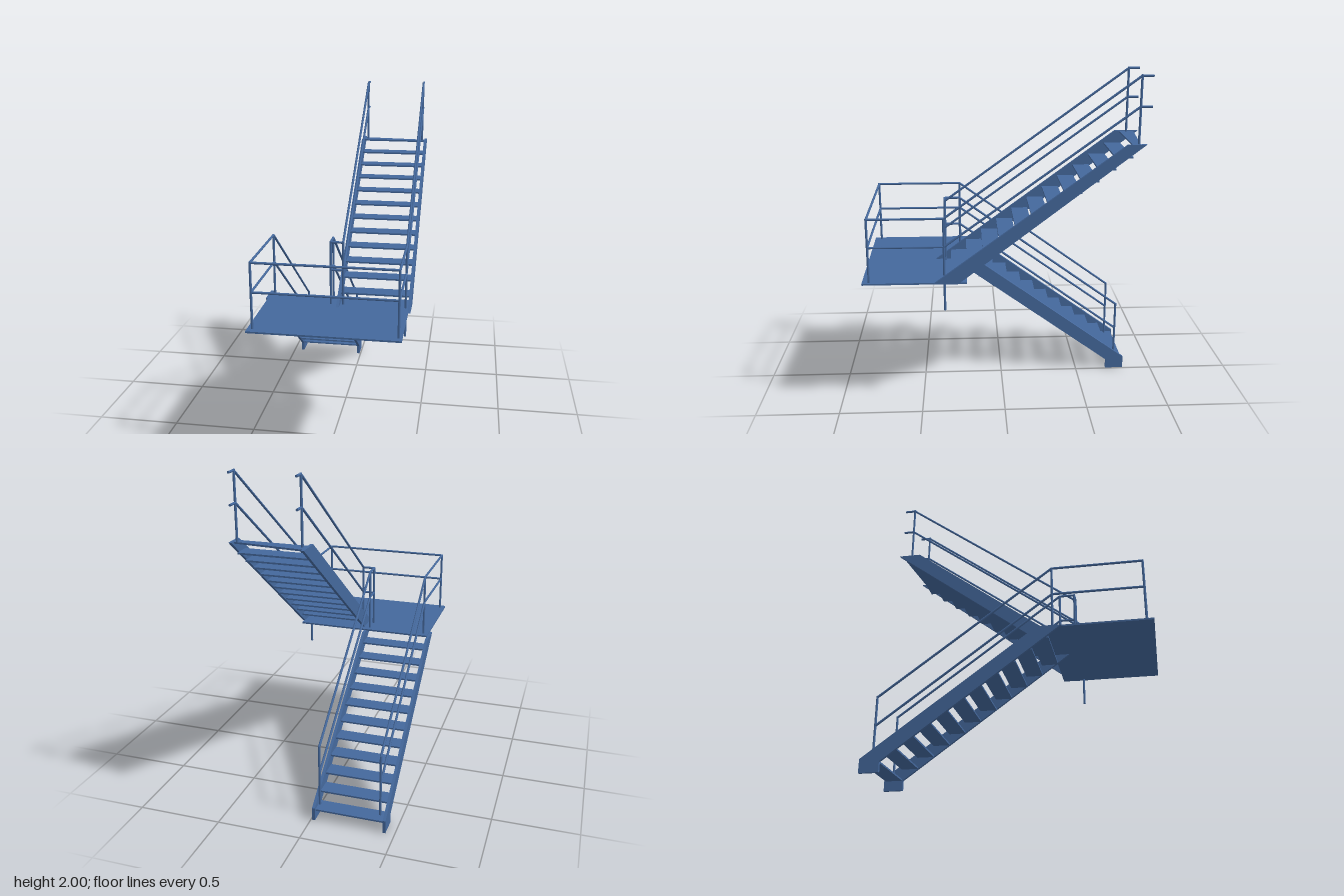
import * as THREE from 'three';

const steel = new THREE.MeshStandardMaterial({ color: 0x44689c });
const RAIL = 0.007;

function add(parent, geometry, name) {
  const mesh = new THREE.Mesh(geometry, steel);
  mesh.name = name;
  parent.add(mesh);
  return mesh;
}

function box(parent, name, x0, x1, y0, y1, z0, z1) {
  const mesh = add(parent, new THREE.BoxGeometry(x1 - x0, y1 - y0, z1 - z0), name);
  mesh.position.set((x0 + x1) / 2, (y0 + y1) / 2, (z0 + z1) / 2);
}

// Side plate: outline in [z, y], spanning x0..x1
function plate(parent, name, outline, x0, x1) {
  const shape = new THREE.Shape(outline.map(([z, y]) => new THREE.Vector2(z, y)));
  const geometry = new THREE.ExtrudeGeometry(shape, { depth: x1 - x0, bevelEnabled: false });
  geometry.rotateY(-Math.PI / 2).translate(x1, 0, 0);
  add(parent, geometry, name);
}

// Round bar between two points
function bar(parent, name, a, b) {
  const from = new THREE.Vector3(...a), to = new THREE.Vector3(...b);
  const dir = to.clone().sub(from);
  const mesh = add(parent, new THREE.CylinderGeometry(RAIL, RAIL, dir.length(), 10), name);
  mesh.position.copy(from).add(to).multiplyScalar(0.5);
  mesh.quaternion.setFromUnitVectors(new THREE.Vector3(0, 1, 0), dir.normalize());
}

// Top and middle rails along a path, with a ball at each bend
function railing(parent, name, path, posts) {
  const group = new THREE.Group();
  group.name = name;
  parent.add(group);
  for (const [label, drop] of [['topRail', 0], ['middleRail', 0.17]]) {
    const points = path.map(([x, y, z]) => [x, y - drop, z]);
    for (let i = 1; i < points.length; i++) {
      bar(group, label, points[i - 1], points[i]);
      if (i < points.length - 1) {
        add(group, new THREE.SphereGeometry(RAIL, 10, 6), label + 'Joint').position.set(...points[i]);
      }
    }
  }
  for (const [x, z, y0, y1] of posts) bar(group, 'post', [x, y0, z], [x, y1, z]);
}

export function createModel() {
  const model = new THREE.Group();
  model.name = 'staircase';

  // Landing
  box(model, 'landing', -0.43, 0.43, 0.796, 0.806, 0.22, 0.835);

  // Lower flight, rising towards the front
  const lower = new THREE.Group();
  lower.name = 'lowerFlight';
  model.add(lower);
  const lowerSide = [[-0.815, 0], [-0.70, 0], [-0.70, 0.06], [0.315, 0.8], [0.175, 0.8], [-0.815, 0.078]];
  plate(lower, 'stringer', lowerSide, -0.447, -0.43);
  plate(lower, 'stringer', lowerSide, -0.025, -0.008);
  for (let i = 0; i < 11; i++) {
    const y = 0.068 + i * 0.0675, z = -0.805 + i * 0.0945;
    box(lower, 'tread', -0.43, -0.025, y - 0.01, y, z, z + 0.1);
  }

  // Upper flight, rising towards the back
  const upper = new THREE.Group();
  upper.name = 'upperFlight';
  model.add(upper);
  const upperSide = (end) => [[0.418, 0.8], [0.272, 0.8], [end, 1.615], [-0.69, 1.615]];
  plate(upper, 'stringer', upperSide(-0.83), 0.002, 0.019);
  plate(upper, 'stringer', upperSide(-0.795), 0.426, 0.443);
  for (let i = 0; i < 11; i++) {
    const y = 0.868 + i * 0.0675, z = 0.316 - i * 0.094;
    box(upper, 'tread', 0.019, 0.426, y - 0.01, y, z - 0.1, z);
  }
  // Top tread with a slanted back edge
  const topTread = new THREE.Shape([[0.019, 0.718], [0.426, 0.718], [0.426, 0.763], [0.019, 0.803]]
    .map(([x, y]) => new THREE.Vector2(x, y)));
  const topGeometry = new THREE.ExtrudeGeometry(topTread, { depth: 0.01, bevelEnabled: false });
  add(upper, topGeometry.rotateX(-Math.PI / 2).translate(0, 1.603, 0), 'topTread');

  // Outer railing, running around the landing
  railing(model, 'outerRailing', [
    [-0.4, 0.45, -0.755], [-0.4, 1.19, 0.26], [-0.4, 1.19, 0.793], [0.41, 1.19, 0.793],
    [0.41, 1.19, 0.352], [0.41, 1.993, -0.755], [0.41, 1.993, -0.82],
  ], [
    [-0.4, -0.755, 0.075, 0.455], [-0.4, 0.26, 0.8, 1.19], [-0.4, 0.793, 0.8, 1.195],
    [0.41, 0.793, 0.8, 1.195], [0.41, 0.352, 0.625, 1.19], [0.41, -0.755, 1.605, 2],
  ]);

  // Inner railing, turning between the flights
  railing(model, 'innerRailing', [
    [-0.036, 0.45, -0.755], [-0.036, 1.19, 0.26], [-0.036, 1.19, 0.352],
    [0.038, 1.19, 0.352], [0.038, 1.993, -0.755], [0.038, 1.993, -0.82],
  ], [
    [-0.036, -0.755, 0.075, 0.455], [-0.036, 0.26, 0.8, 1.19], [-0.036, 0.352, 0.8, 1.195],
    [0.038, 0.352, 0.8, 1.195], [0.038, -0.755, 1.605, 2],
  ]);

  return model;
}
